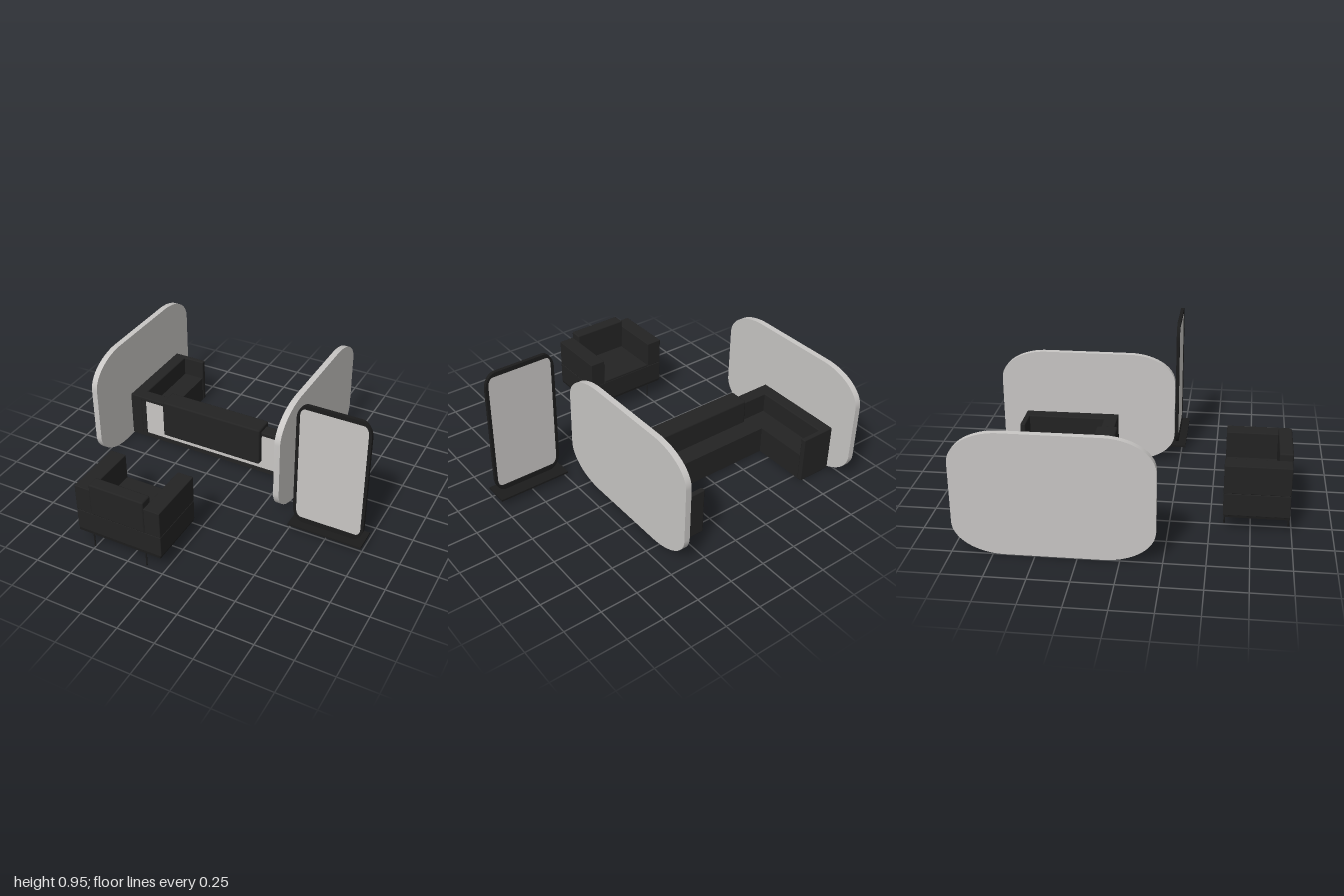
import * as THREE from 'three';
import { RoundedBoxGeometry } from 'three/addons/geometries/RoundedBoxGeometry.js';
import { toCreasedNormals } from 'three/addons/utils/BufferGeometryUtils.js';

const mat = (name, color) => {
  const m = new THREE.MeshStandardMaterial({ color });
  m.name = name;
  return m;
};

// Rectangle with elliptical corners
function roundedOutline(target, x0, x1, y0, y1, rx, ry) {
  const H = Math.PI / 2;
  target.moveTo(x0 + rx, y0);
  target.lineTo(x1 - rx, y0);
  target.absellipse(x1 - rx, y0 + ry, rx, ry, -H, 0, false);
  target.lineTo(x1, y1 - ry);
  target.absellipse(x1 - rx, y1 - ry, rx, ry, 0, H, false);
  target.lineTo(x0 + rx, y1);
  target.absellipse(x0 + rx, y1 - ry, rx, ry, H, 2 * H, false);
  target.lineTo(x0, y0 + ry);
  target.absellipse(x0 + rx, y0 + ry, rx, ry, 2 * H, 3 * H, false);
  return target;
}

const extrude = (shape, depth) => toCreasedNormals(
  new THREE.ExtrudeGeometry(shape, { depth, bevelEnabled: false, curveSegments: 14 }), 0.6);

export function createModel() {
  const model = new THREE.Group();
  model.name = 'loungeSet';
  const fabric = mat('charcoalFabric', 0x232323);
  const metal = mat('blackMetal', 0x1c1c1c);
  const felt = mat('lightGreyFelt', 0xc8c6c4);

  const group = (name) => {
    const g = new THREE.Group();
    g.name = name;
    model.add(g);
    return g;
  };
  const add = (parent, name, geometry, material) => {
    const mesh = new THREE.Mesh(geometry, material);
    mesh.name = name;
    parent.add(mesh);
    return mesh;
  };
  // Box given by its limits; r > 0 rounds the edges
  const box = (parent, name, material, [x0, x1], [y0, y1], [z0, z1], r = 0) => {
    const size = [x1 - x0, y1 - y0, z1 - z0];
    const geo = r ? new RoundedBoxGeometry(...size, 2, r) : new THREE.BoxGeometry(...size);
    add(parent, name, geo, material).position.set((x0 + x1) / 2, (y0 + y1) / 2, (z0 + z1) / 2);
  };

  // Tall rounded screens on both sides of the sofa
  const screens = group('sideScreens');
  for (const x of [-1, 0.36]) {
    const outline = roundedOutline(new THREE.Shape(), -0.21, 0.99, 0, 0.78, 0.31, 0.2);
    const screen = add(screens, 'sideScreen', extrude(outline, 0.04), felt);
    screen.rotation.y = Math.PI / 2;
    screen.position.x = x;
  }

  // U-shaped sofa, open towards the back
  const sofa = group('sofa');
  box(sofa, 'middleSeat', fabric, [-0.87, 0.27], [0.01, 0.2], [-0.42, -0.26]);
  box(sofa, 'middleBack', fabric, [-0.9, 0.3], [0.01, 0.335], [-0.27, -0.195]);
  const cx = -0.3;
  for (const s of [-1, 1]) {
    const span = (a, b) => (s > 0 ? [cx + a, cx + b] : [cx - b, cx - a]);
    box(sofa, 'wingSeat', fabric, span(0.42, 0.58), [0.01, 0.2], [-0.8, -0.26]);
    box(sofa, 'wingBack', fabric, span(0.57, 0.66), [0.01, 0.34], [-0.81, -0.18], 0.008);
    box(sofa, 'endPanel', fabric, span(0.415, 0.66), [0.01, 0.34], [-0.825, -0.79], 0.008);
    box(sofa, 'framePost', fabric, span(0.54, 0.65), [0.01, 0.335], [-0.26, -0.183]);
  }
  box(sofa, 'topRail', fabric, [-0.93, 0.33], [0.31, 0.34], [-0.27, -0.18], 0.008);
  box(sofa, 'bottomRail', fabric, [-0.95, 0.35], [0.012, 0.04], [-0.27, -0.18]);
  box(sofa, 'rearInfill', felt, [-0.84, 0.24], [0.04, 0.31], [-0.196, -0.188]);
  box(sofa, 'hangingCushion', fabric, [-0.68, 0.08], [0.09, 0.37], [-0.29, -0.15], 0.012);

  // Armchair facing the sofa
  const chair = group('armchair');
  box(chair, 'chairUnderframe', metal, [-0.605, -0.015], [0.108, 0.125], [0.585, 0.985]);
  box(chair, 'chairBase', fabric, [-0.61, -0.01], [0.122, 0.27], [0.58, 0.985], 0.005);
  box(chair, 'chairSeat', fabric, [-0.5, -0.12], [0.26, 0.285], [0.582, 0.92], 0.008);
  for (const x of [-0.61, -0.12]) {
    box(chair, 'chairArm', fabric, [x, x + 0.11], [0.27, 0.455], [0.58, 0.985], 0.005);
  }
  box(chair, 'chairBack', fabric, [-0.502, -0.118], [0.27, 0.5], [0.905, 0.99], 0.01);
  for (const x of [-0.5, -0.12]) for (const z of [0.588, 0.982]) {
    const leg = add(chair, 'chairLeg', new THREE.CylinderGeometry(0.005, 0.005, 0.1, 10), metal);
    leg.position.set(x, 0.06, z);
  }

  // Free-standing board in a rounded frame on a flat foot
  const board = group('standingBoard');
  const ring = roundedOutline(new THREE.Shape(), 0.51, 0.99, 0.055, 0.95, 0.075, 0.11);
  ring.holes.push(roundedOutline(new THREE.Path(), 0.53, 0.97, 0.092, 0.92, 0.035, 0.06));
  add(board, 'boardFrame', extrude(ring, 0.022), metal).position.z = 0.205;
  const face = roundedOutline(new THREE.Shape(), 0.525, 0.975, 0.088, 0.925, 0.04, 0.065);
  add(board, 'boardFace', extrude(face, 0.012), felt).position.z = 0.21;
  box(board, 'boardFoot', metal, [0.5, 1], [0.043, 0.056], [0.12, 0.28]);

  return model;
}
